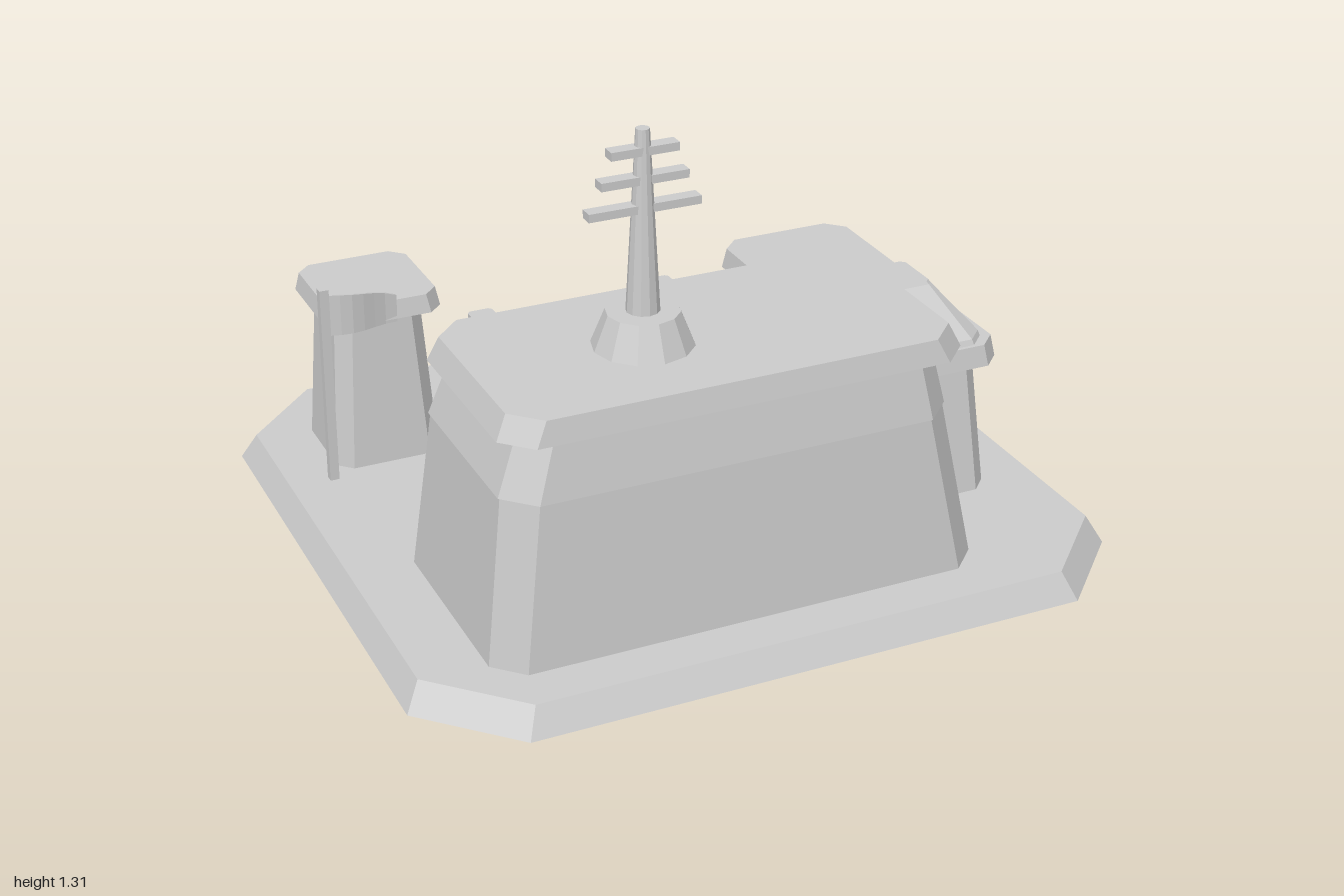
import * as THREE from 'three';

// Double-sided because the platform and steps are open underneath
const stone = new THREE.MeshStandardMaterial({ color: 0xcccccc, side: THREE.DoubleSide });
stone.name = 'light grey';

// Loft through chamfered rectangles; each ring is [y, x0, x1, z0, z1, chamfer]
function loft(rings, closedBottom = true) {
  const n = 8, pos = [], idx = [];
  for (const [y, x0, x1, z0, z1, c] of rings) {
    const ring = [[x1, z1 - c], [x1, z0 + c], [x1 - c, z0], [x0 + c, z0],
      [x0, z0 + c], [x0, z1 - c], [x0 + c, z1], [x1 - c, z1]];
    for (const [x, z] of ring) pos.push(x, y, z);
  }
  for (let r = 0; r < rings.length - 1; r++) {
    for (let i = 0; i < n; i++) {
      const a = r * n + i, b = r * n + (i + 1) % n;
      idx.push(a, b, b + n, a, b + n, a + n);
    }
  }
  const t = (rings.length - 1) * n;
  for (let i = 1; i < n - 1; i++) {
    idx.push(t, t + i, t + i + 1);
    if (closedBottom) idx.push(0, i + 1, i);
  }
  const g = new THREE.BufferGeometry();
  g.setAttribute('position', new THREE.Float32BufferAttribute(pos, 3));
  g.setIndex(idx);
  return flat(g);
}

// Faceted normals
function flat(g) {
  const f = g.index ? g.toNonIndexed() : g;
  f.computeVertexNormals();
  return f;
}

function add(parent, name, geometry, x = 0, y = 0, z = 0) {
  const m = new THREE.Mesh(geometry, stone);
  m.name = name;
  m.position.set(x, y, z);
  parent.add(m);
  return m;
}

// Box given by its limits
function block(parent, name, x0, x1, y0, y1, z0, z1) {
  return add(parent, name, new THREE.BoxGeometry(x1 - x0, y1 - y0, z1 - z0),
    (x0 + x1) / 2, (y0 + y1) / 2, (z0 + z1) / 2);
}

function group(parent, name) {
  const g = new THREE.Group();
  g.name = name;
  parent.add(g);
  return g;
}

export function createModel() {
  const model = new THREE.Group();
  model.name = 'compound';
  const G = 0.075; // top of the platform

  // Hollow platform
  add(model, 'platform', loft([
    [0, -1, 1, -0.91, 0.997, 0.23],
    [G, -0.96, 0.96, -0.87, 0.957, 0.22],
  ], false));

  // Back steps: thin risers and treads
  const steps = group(model, 'steps');
  const count = 6, rise = 0.065 / count, run = 0.12 / count;
  for (let i = 0; i < count; i++) {
    const z = -1 + i * run;
    const riser = add(steps, 'riser', new THREE.PlaneGeometry(0.39, rise), 0.077, (i + 0.5) * rise, z);
    riser.rotation.y = Math.PI;
    const tread = add(steps, 'tread', new THREE.PlaneGeometry(0.39, run), 0.077, (i + 1) * rise, z + run / 2);
    tread.rotation.x = -Math.PI / 2;
  }

  // Main hall: lower walls, slightly proud upper band, roof slab
  const hall = group(model, 'mainHall');
  add(hall, 'hallWalls', loft([
    [G, -0.783, 0.578, 0.136, 0.833, 0.075],
    [0.525, -0.731, 0.488, 0.168, 0.803, 0.075],
  ], false));
  add(hall, 'hallBand', loft([
    [0.52, -0.737, 0.494, 0.163, 0.809, 0.078],
    [0.67, -0.682, 0.46, 0.19, 0.785, 0.07],
  ]));
  add(hall, 'hallRoof', loft([
    [0.67, -0.735, 0.537, 0.166, 0.802, 0.075],
    [0.735, -0.706, 0.505, 0.18, 0.79, 0.075],
  ]));

  // Antenna on the hall roof
  const antenna = group(model, 'antenna');
  antenna.position.set(-0.252, 0, 0.5);
  add(antenna, 'antennaBase', flat(new THREE.CylinderGeometry(0.096, 0.134, 0.095, 12)), 0, 0.78, 0);
  add(antenna, 'mast', flat(new THREE.CylinderGeometry(0.018, 0.044, 0.485, 12)), 0, 1.068, 0);
  for (const [y, w] of [[1.105, 0.302], [1.18, 0.235], [1.255, 0.182]]) {
    add(antenna, 'crossBar', new THREE.BoxGeometry(w, 0.022, 0.038), 0, y, 0);
  }

  // Side wing
  const wing = group(model, 'sideWing');
  add(wing, 'wingWalls', loft([
    [G, 0.42, 0.81, -0.43, 0.487, 0.045],
    [0.46, 0.445, 0.785, -0.385, 0.435, 0.045],
  ], false));
  add(wing, 'wingRoof', loft([
    [0.46, 0.405, 0.824, -0.442, 0.497, 0.05],
    [0.52, 0.415, 0.814, -0.432, 0.487, 0.05],
  ]));
  add(wing, 'skylight', loft([
    [0.515, 0.445, 0.785, 0.07, 0.478, 0.045],
    [0.535, 0.45, 0.78, 0.085, 0.47, 0.045],
    [0.66, 0.55, 0.678, 0.192, 0.347, 0.012],
    [0.668, 0.555, 0.673, 0.197, 0.342, 0.012],
  ]));
  for (const z of [0.062, -0.105, -0.265]) {
    const w = add(wing, 'window', new THREE.BoxGeometry(0.009, 0.045, 0.09), 0.797, 0.337, z);
    w.rotation.z = 0.065;
  }

  // Back corner tower
  const tower = group(model, 'cornerTower');
  add(tower, 'towerWalls', loft([
    [G, -0.805, -0.5, -0.652, -0.34, 0.04],
    [0.525, -0.78, -0.53, -0.624, -0.368, 0.04],
  ], false));
  add(tower, 'towerRoof', loft([
    [0.522, -0.823, -0.485, -0.667, -0.322, 0.04],
    [0.575, -0.813, -0.495, -0.657, -0.332, 0.04],
  ]));

  // Flag on a pole
  const flag = group(model, 'flag');
  block(flag, 'flagPole', -0.848, -0.822, G, 0.655, -0.325, -0.3);
  const cloth = new THREE.BoxGeometry(0.2, 0.12, 0.006, 6, 1, 1);
  const p = cloth.attributes.position;
  for (let i = 0; i < p.count; i++) {
    const u = p.getX(i) / 0.2 + 0.5;
    p.setZ(i, p.getZ(i) + 0.012 * Math.sin(u * 5));
    if (p.getY(i) > 0) p.setY(i, p.getY(i) - 0.04 * u * u);
  }
  add(flag, 'flagCloth', flat(cloth), -0.724, 0.573, -0.315);

  // Entrance porch
  const porch = group(model, 'porch');
  add(porch, 'porchRoof', loft([
    [0.365, -0.367, 0.122, -0.027, 0.25, 0.05],
    [0.425, -0.357, 0.112, -0.017, 0.25, 0.05],
  ]));
  block(porch, 'lintel', -0.33, 0.085, 0.28, 0.365, 0.01, 0.06);
  block(porch, 'lintelBoard', -0.285, 0.03, 0.29, 0.33, -0.043, 0.015);
  for (const x of [-0.3, 0.055]) {
    block(porch, 'porchPost', x - 0.028, x + 0.028, G, 0.365, 0.005, 0.06);
  }
  block(porch, 'door', -0.22, -0.02, G, 0.28, 0.134, 0.16);

  // Gate pillars, each with a round lamp
  for (const x of [-0.218, 0.368]) {
    const pillar = group(model, 'gatePillar');
    pillar.position.set(x, 0, -0.738);
    add(pillar, 'pillarShaft', loft([
      [G, -0.045, 0.045, -0.05, 0.05, 0.012],
      [0.275, -0.039, 0.039, -0.042, 0.042, 0.01],
    ], false));
    const lamp = add(pillar, 'lamp', flat(new THREE.CylinderGeometry(0.026, 0.026, 0.02, 12)), 0, 0.22, -0.046);
    lamp.rotation.x = Math.PI / 2;
  }
  return model;
}
